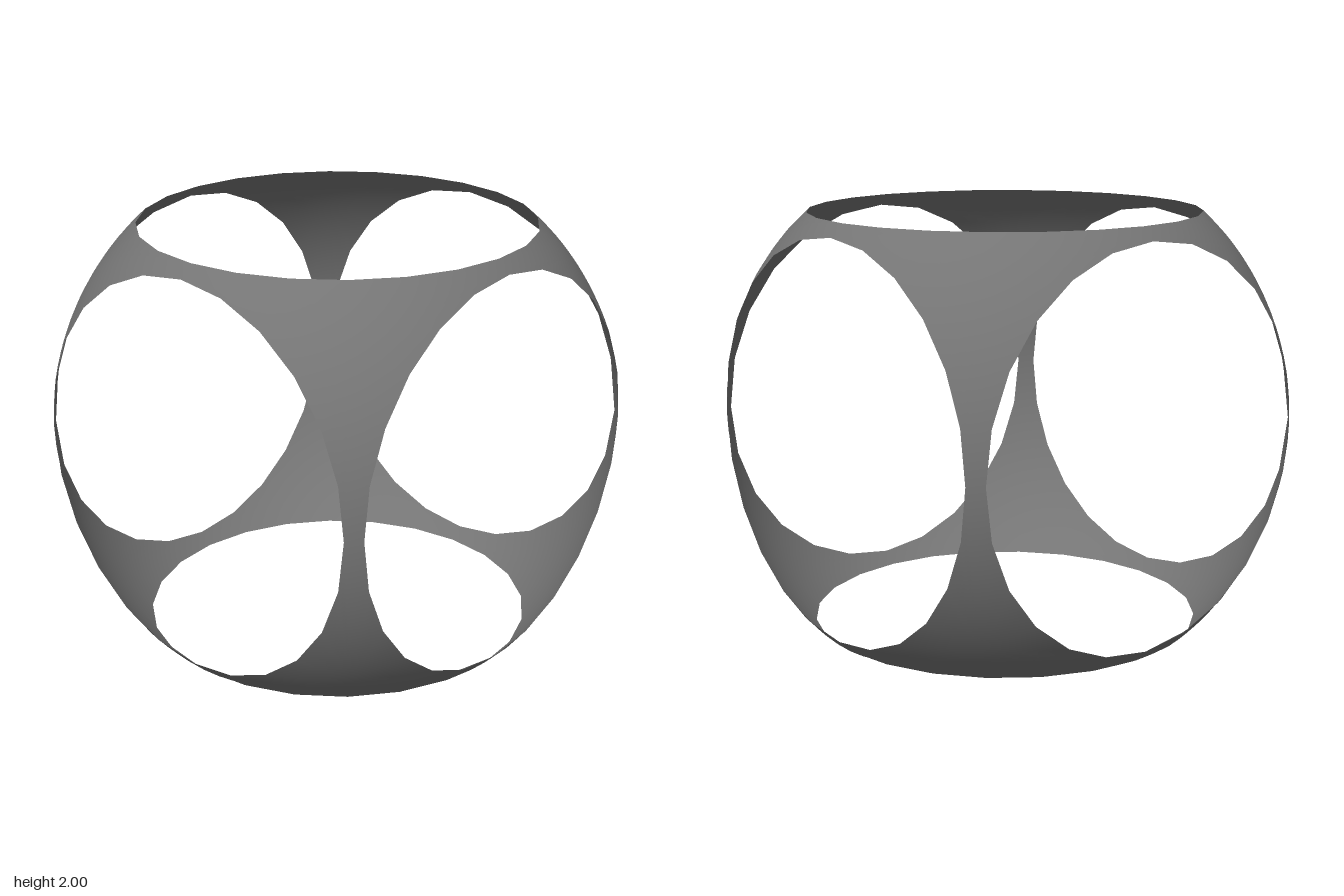
import * as THREE from 'three';

const HOLE = 0.94;                      // radius of the six round openings
const RADIUS = Math.hypot(1, HOLE);     // sphere whose openings lie in the planes at +-1
const STEPS = 6;                        // rim segments per quarter circle
const RINGS = 8;                        // rings from the patch centre to its edge

// Outline of one octant: three quarter rims joined by short edges at the necks
function patchOutline() {
  const points = [];
  const rims = [
    (c, s) => new THREE.Vector3(1, c, s),
    (c, s) => new THREE.Vector3(c, s, 1),
    (c, s) => new THREE.Vector3(s, 1, c),
  ];
  for (const rim of rims) {
    for (let i = 0; i <= STEPS; i++) {
      const a = (i / STEPS) * Math.PI / 2;
      points.push(rim(HOLE * Math.cos(a), HOLE * Math.sin(a)));
    }
  }
  return points;
}

// Three-armed spherical patch, mirrored into the octant given by the signs
function patchGeometry(sx, sy, sz) {
  const outline = patchOutline();
  const n = outline.length;
  const centre = new THREE.Vector3(1, 1, 1).setLength(RADIUS);
  const sign = new THREE.Vector3(sx, sy, sz);
  const positions = [], normals = [], index = [];
  const add = (p) => {
    p.setLength(RADIUS).multiply(sign);
    positions.push(p.x, p.y, p.z);
    normals.push(p.x / RADIUS, p.y / RADIUS, p.z / RADIUS);
  };
  const face = (a, b, c) => (sx * sy * sz > 0 ? index.push(a, b, c) : index.push(a, c, b));

  add(centre.clone());
  for (let r = 1; r <= RINGS; r++) {
    for (const p of outline) add(centre.clone().lerp(p, r / RINGS));
  }
  for (let i = 0; i < n; i++) {
    const j = (i + 1) % n;
    face(0, 1 + j, 1 + i);
    for (let r = 0; r < RINGS - 1; r++) {
      const inner = 1 + r * n, outer = inner + n;
      face(inner + i, inner + j, outer + j);
      face(inner + i, outer + j, outer + i);
    }
  }

  const geometry = new THREE.BufferGeometry();
  geometry.setAttribute('position', new THREE.Float32BufferAttribute(positions, 3));
  geometry.setAttribute('normal', new THREE.Float32BufferAttribute(normals, 3));
  geometry.setIndex(index);
  return geometry;
}

export function createModel() {
  const grey = new THREE.MeshStandardMaterial({ color: 0x757575, side: THREE.DoubleSide });
  grey.name = 'grey';

  const model = new THREE.Group();
  model.name = 'openSphere';

  // Eight patches meet at the twelve necks and leave six round openings
  for (const sx of [1, -1]) for (const sy of [1, -1]) for (const sz of [1, -1]) {
    const patch = new THREE.Mesh(patchGeometry(sx, sy, sz), grey);
    patch.name = (sy > 0 ? 'upper' : 'lower') + (sz > 0 ? 'Front' : 'Back') + (sx > 0 ? 'Left' : 'Right') + 'Patch';
    patch.position.y = 1;
    model.add(patch);
  }
  return model;
}
